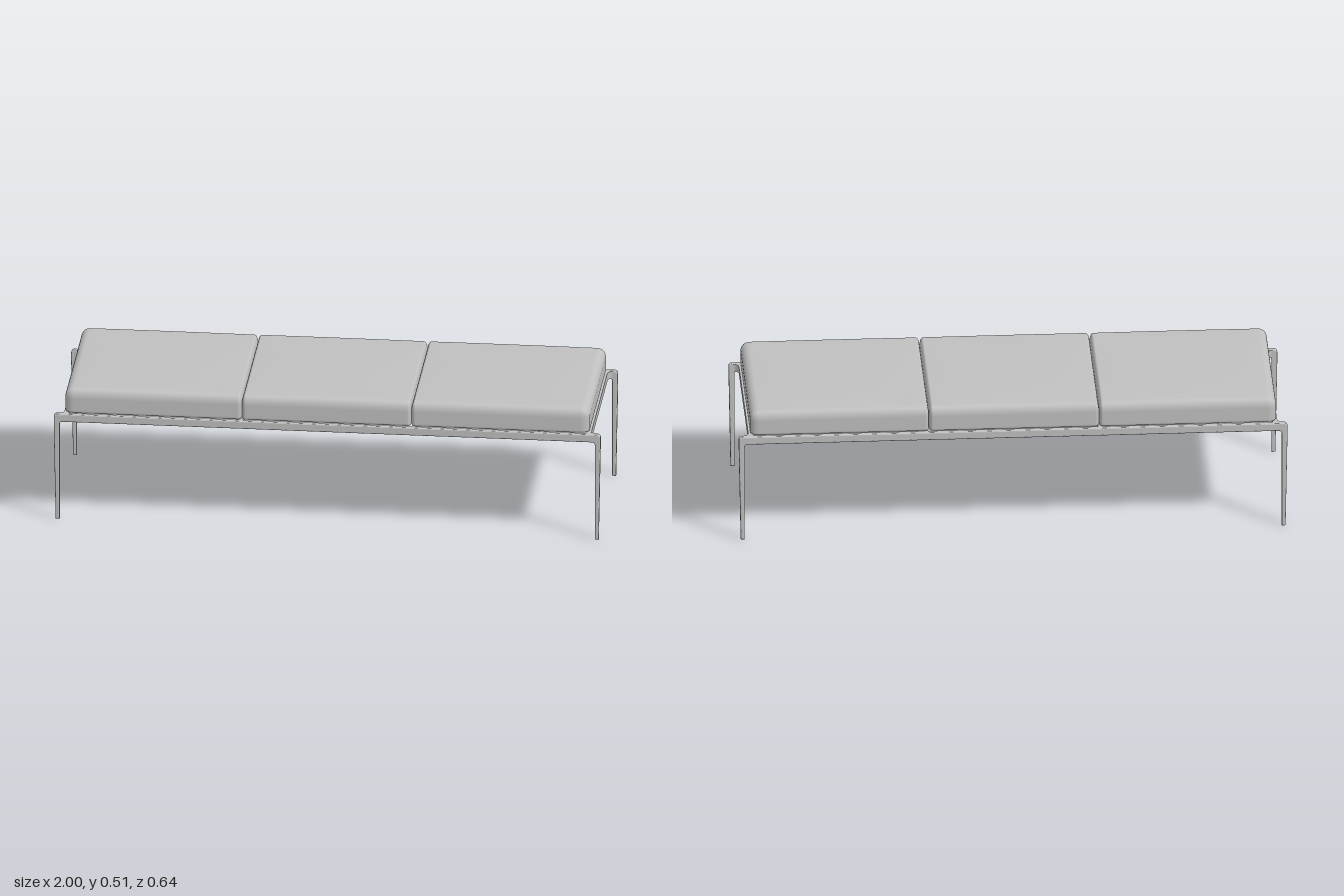
import * as THREE from 'three';
import { mergeVertices } from 'three/addons/utils/BufferGeometryUtils.js';

const grey = new THREE.MeshStandardMaterial({ color: 0xc0c0c0 });
grey.name = 'light grey';

const RAIL_TOP = 0.412, RAIL_BOTTOM = 0.382;

// Padded block: edges rounded with a separate radius per side, top gently domed
function cushionGeometry(x0, x1, rLeft, rRight) {
  const lo = [x0, 0.409, -0.308], hi = [x1, 0.506, 0.308];
  const rLo = [rLeft, 0.012, 0.024], rHi = [rRight, 0.032, 0.024];
  let geo = new THREE.BoxGeometry(2, 2, 2, 20, 20, 20);
  geo.deleteAttribute('uv');
  geo.deleteAttribute('normal');
  geo = mergeVertices(geo, 1e-5);
  const p = geo.attributes.position, band = 0.6;
  for (let i = 0; i < p.count; i++) {
    const t = [p.getX(i), p.getY(i), p.getZ(i)];
    // Share of each coordinate that lies in the rounded border
    const d = t.map((v) => Math.sign(v) * Math.max(0, (Math.abs(v) - band) / (1 - band)));
    const len = Math.hypot(...d) || 1;
    const q = t.map((v, k) => {
      const a = lo[k] + rLo[k], b = hi[k] - rHi[k];
      const inner = THREE.MathUtils.clamp(v / band, -1, 1);
      return a + (b - a) * (inner + 1) / 2 + (d[k] / len) * (d[k] < 0 ? rLo[k] : rHi[k]);
    });
    const u = (2 * q[0] - x0 - x1) / (x1 - x0), w = q[2] / 0.308;
    if (t[1] > 0) q[1] += 0.008 * Math.max(0, 1 - u * u) * Math.max(0, 1 - w * w) * Math.min(1, t[1] / band);
    p.setXYZ(i, ...q);
  }
  geo.computeVertexNormals();
  return geo;
}

// Rail with a tapering leg bent down at each end, in one piece
function sideFrameGeometry() {
  const b = 0.004, s = new THREE.Shape();
  s.moveTo(-0.993 + b, b);
  s.lineTo(-1 + b, 0.37);
  s.lineTo(-1 + b, RAIL_TOP - 0.012);
  s.quadraticCurveTo(-1 + b, RAIL_TOP - b, -0.988, RAIL_TOP - b);
  s.lineTo(0.988, RAIL_TOP - b);
  s.quadraticCurveTo(1 - b, RAIL_TOP - b, 1 - b, RAIL_TOP - 0.012);
  s.lineTo(1 - b, 0.37);
  s.lineTo(0.993 - b, b);
  s.lineTo(0.979 + b, b);
  s.lineTo(0.979 + b, 0.372);
  s.quadraticCurveTo(0.979 + b, RAIL_BOTTOM + b, 0.965, RAIL_BOTTOM + b);
  s.lineTo(-0.965, RAIL_BOTTOM + b);
  s.quadraticCurveTo(-0.979 - b, RAIL_BOTTOM + b, -0.979 - b, 0.372);
  s.lineTo(-0.979 - b, b);
  s.closePath();
  const depth = 0.019 - 2 * b;
  const geo = new THREE.ExtrudeGeometry(s, {
    depth, bevelThickness: b, bevelSize: b, bevelSegments: 3, curveSegments: 8,
  });
  return geo.translate(0, 0, -depth / 2);
}

// Concave web joining an end bar to a rail
function gussetGeometry(sx, sz) {
  const s = new THREE.Shape();
  s.moveTo(sx * 0.955, sz * 0.302);
  s.lineTo(sx * 0.99, sz * 0.302);
  s.quadraticCurveTo(sx * 0.966, sz * 0.3, sx * 0.964, sz * 0.28);
  s.lineTo(sx * 0.955, sz * 0.28);
  s.closePath();
  const geo = new THREE.ExtrudeGeometry(s, { depth: 0.028, bevelEnabled: false, curveSegments: 8 });
  return geo.rotateX(Math.PI / 2).translate(0, RAIL_TOP - 0.001, 0);
}

export function createModel() {
  const bench = new THREE.Group();
  bench.name = 'bench';
  const add = (name, geometry, x = 0, y = 0, z = 0) => {
    const mesh = new THREE.Mesh(geometry, grey);
    mesh.name = name;
    mesh.position.set(x, y, z);
    bench.add(mesh);
  };

  // Three seat cushions, softer at the outer ends
  add('rightCushion', cushionGeometry(-0.96, -0.314, 0.032, 0.014));
  add('middleCushion', cushionGeometry(-0.314, 0.306, 0.014, 0.014));
  add('leftCushion', cushionGeometry(0.306, 0.958, 0.014, 0.032));

  // Front and back rails with their legs
  const side = sideFrameGeometry();
  add('frontRailAndLegs', side, 0, 0, 0.309);
  add('backRailAndLegs', side, 0, 0, -0.309);

  // Bars between the rails
  const endBar = new THREE.BoxGeometry(0.018, 0.031, 0.605);
  const crossBar = new THREE.BoxGeometry(0.02, 0.027, 0.605);
  for (const sx of [-1, 1]) {
    add('endBar', endBar, sx * 0.955, 0.396, 0);
    for (const x of [0.32, 0.76]) add('crossBar', crossBar, sx * x, 0.397, 0);
    for (const sz of [-1, 1]) add('cornerGusset', gussetGeometry(sx, sz));
  }
  return bench;
}
